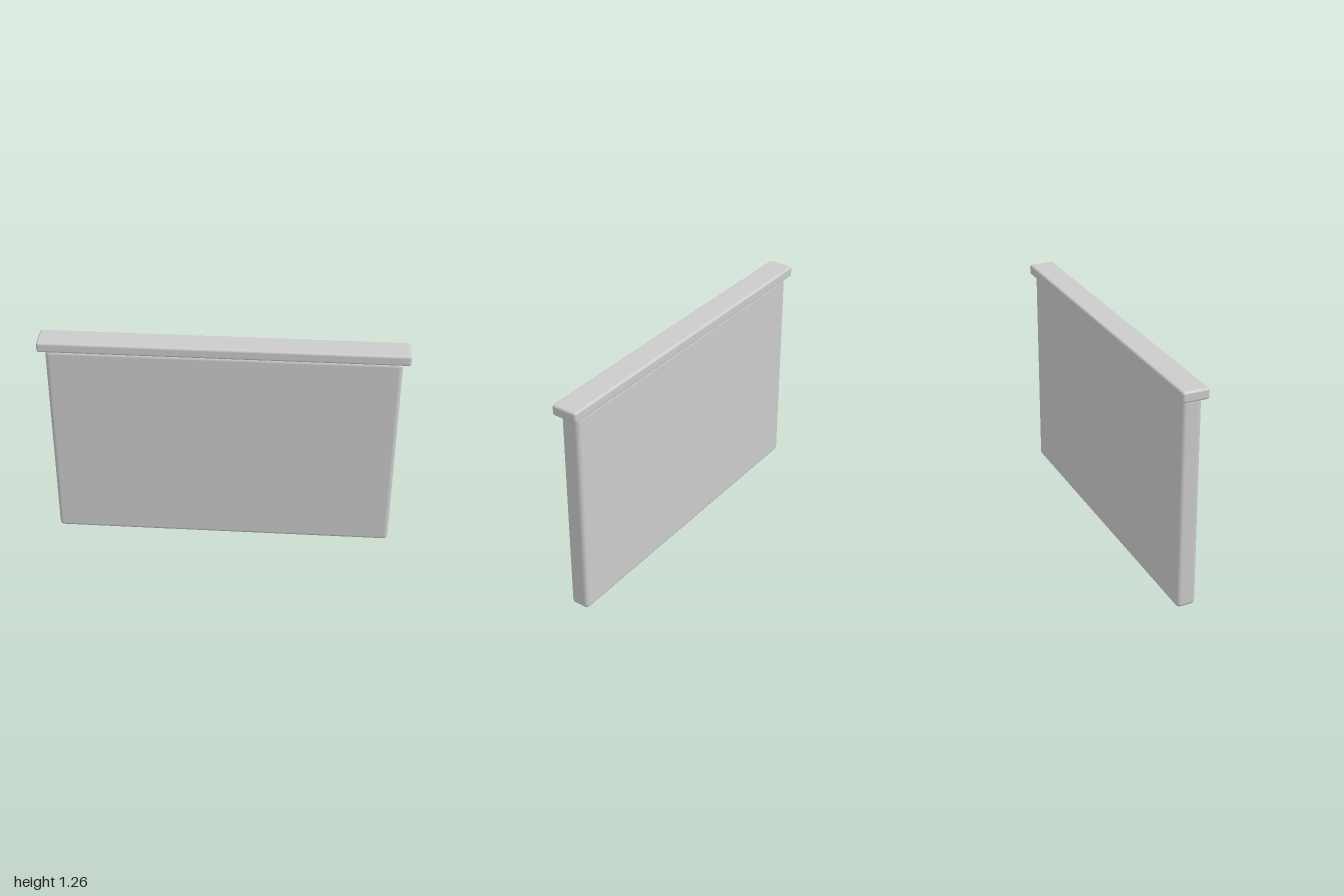
import * as THREE from 'three';
import { RoundedBoxGeometry } from 'three/addons/geometries/RoundedBoxGeometry.js';

export function createModel() {
  const group = new THREE.Group();
  const material = new THREE.MeshStandardMaterial({ color: 0xcccccc });

  // Soft-edged slab standing on the given base height
  function slab(name, width, height, depth, radius, baseY) {
    const mesh = new THREE.Mesh(new RoundedBoxGeometry(width, height, depth, 4, radius), material);
    mesh.name = name;
    mesh.position.y = baseY + height / 2;
    group.add(mesh);
  }

  // Upright panel
  slab('wallPanel', 1.92, 1.203, 0.11, 0.024, 0);
  // Overhanging coping along the top
  slab('topCap', 2, 0.061, 0.15, 0.014, 1.203);

  return group;
}
